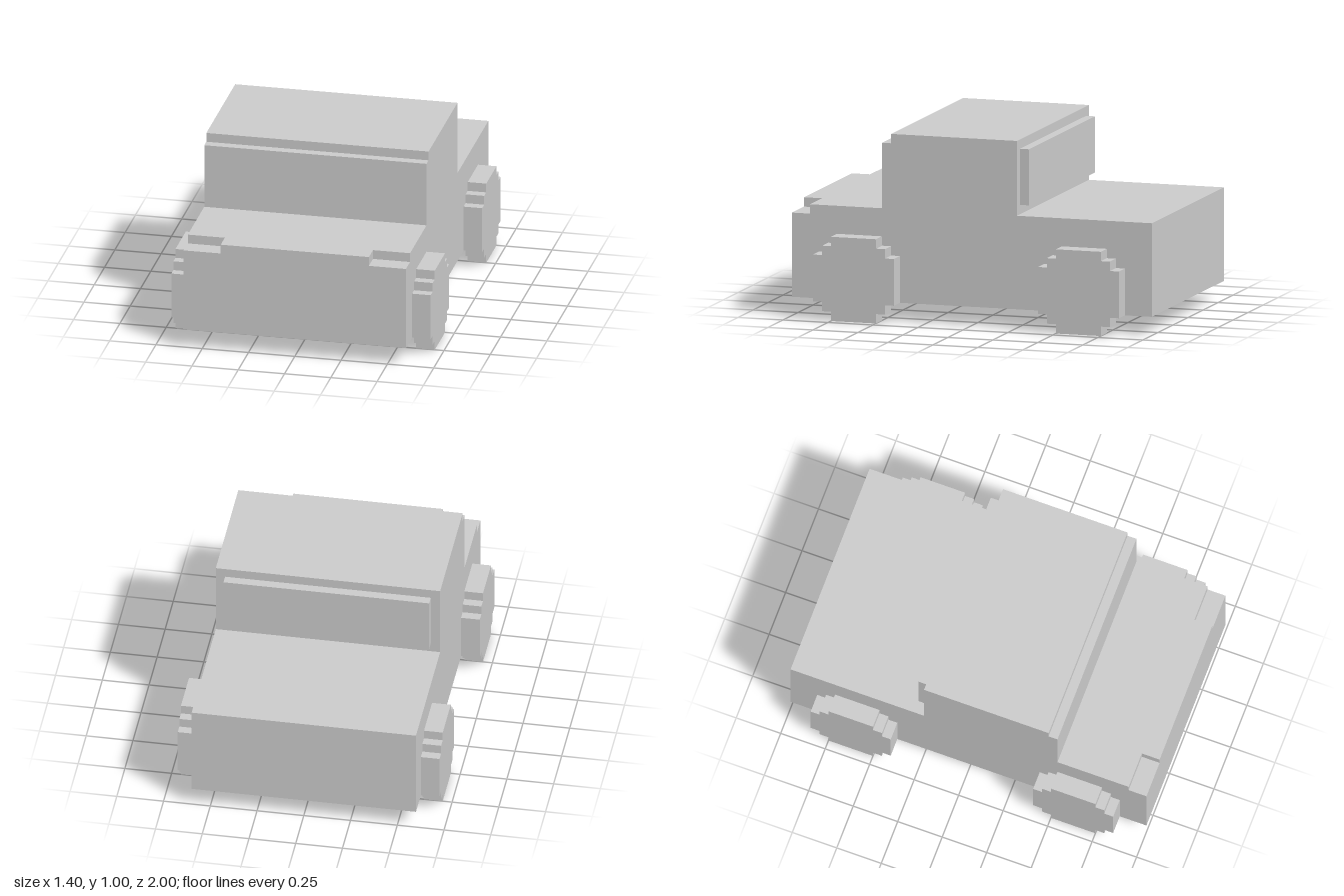
import * as THREE from 'three';

const material = new THREE.MeshStandardMaterial({ color: 0xcccccc, flatShading: true });

function extrude(points, depth) {
  const shape = new THREE.Shape(points.map(([x, y]) => new THREE.Vector2(x, y)));
  return new THREE.ExtrudeGeometry(shape, { depth, bevelEnabled: false });
}

// Side profile given as [z, y], extruded across the width and centred on x = 0
function sideProfile(points, width) {
  return extrude(points, width).translate(0, 0, -width / 2).rotateY(-Math.PI / 2);
}

// Stepped wheel outline: one quadrant mirrored into a full loop
function wheelOutline() {
  const quarter = [[0.225, 0.125], [0.175, 0.125], [0.175, 0.175], [0.125, 0.175], [0.125, 0.225]];
  const back = [...quarter].reverse();
  return [
    ...quarter,
    ...back.map(([z, y]) => [-z, y]),
    ...quarter.map(([z, y]) => [-z, -y]),
    ...back.map(([z, y]) => [z, -y]),
  ];
}

export function createModel() {
  const group = new THREE.Group();
  const add = (name, geometry, x = 0, y = 0, z = 0) => {
    const mesh = new THREE.Mesh(geometry, material);
    mesh.name = name;
    mesh.position.set(x, y, z);
    group.add(mesh);
  };

  // Bonnet, cab and rear bed in one side profile
  add('body', sideProfile([
    [-1, 0.1], [0.9, 0.1], [0.9, 0.6], [0.5, 0.6], [0.5, 0.95], [0.45, 0.95],
    [0.45, 1], [-0.25, 1], [-0.25, 0.6], [-1, 0.6],
  ], 1.2));

  // Front end with a notch at each upper corner for the headlights
  add('nose', extrude([
    [-0.6, 0.1], [0.6, 0.1], [0.6, 0.55], [0.4, 0.55],
    [0.4, 0.6], [-0.4, 0.6], [-0.4, 0.55], [-0.6, 0.55],
  ], 0.1), 0, 0, 0.9);

  // Raised panel on the back of the cab
  add('rearWindow', new THREE.BoxGeometry(1.1, 0.3, 0.05), 0, 0.8, -0.275);

  // Four stepped wheels
  const wheel = sideProfile(wheelOutline(), 0.1);
  for (const [side, x] of [['Left', 0.65], ['Right', -0.65]]) {
    add(`front${side}Wheel`, wheel, x, 0.225, 0.625);
    add(`rear${side}Wheel`, wheel, x, 0.225, -0.625);
  }

  return group;
}
